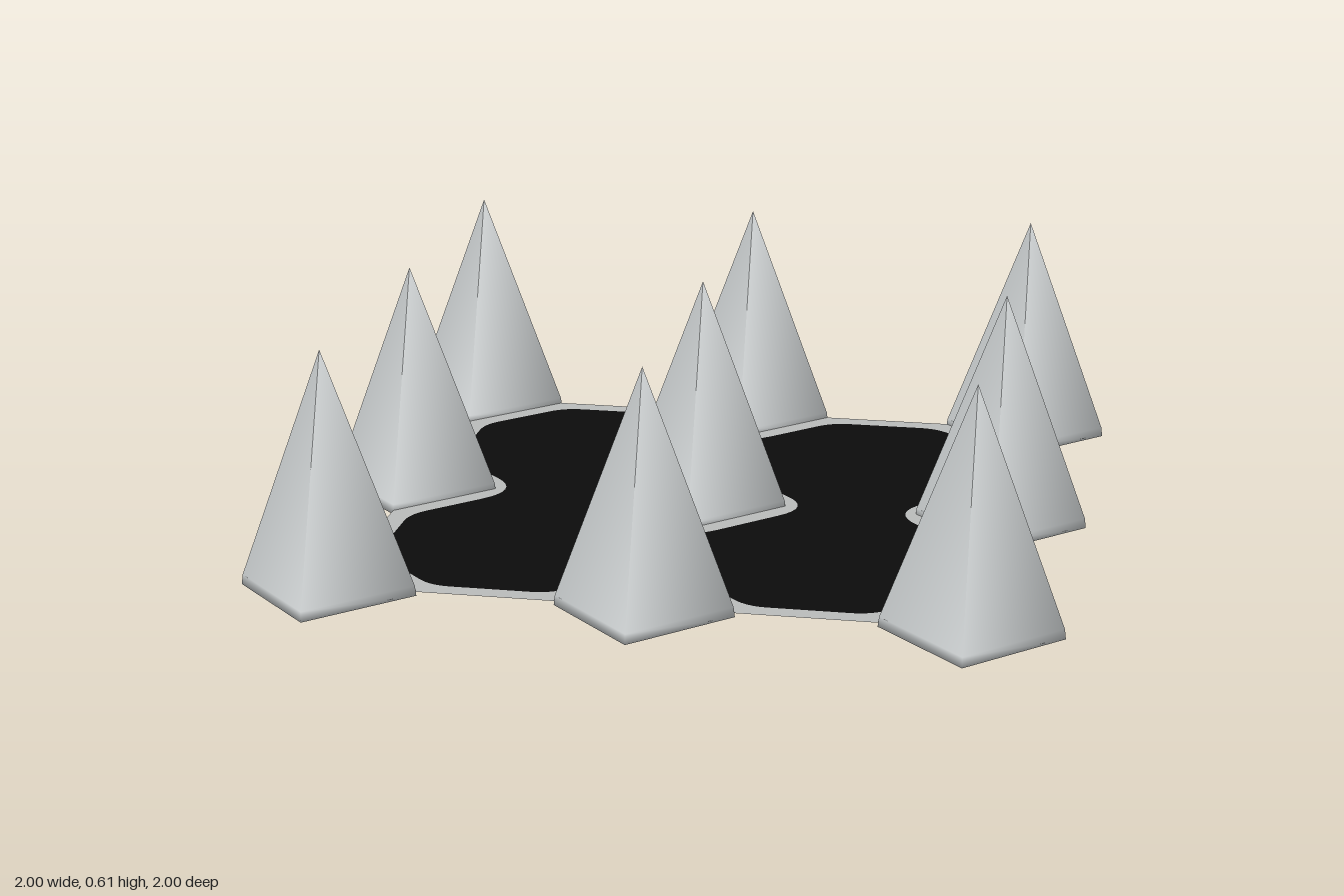
import * as THREE from 'three';

const PITCH = 0.78;    // spacing of the spikes and half size of the sheet
const INNER = 0.73;    // half size of the dark field
const CLEAR = 0.29;    // diamond-shaped clearance around each spike
const SHEET_Y = 0.01;

const spikeGrey = new THREE.MeshStandardMaterial({ color: 0xc6cacb });
spikeGrey.name = 'spikeGrey';
const rimGrey = new THREE.MeshStandardMaterial({ color: 0xb9bbba, side: THREE.DoubleSide });
rimGrey.name = 'rimGrey';
const fieldBlack = new THREE.MeshStandardMaterial({ color: 0x0b0b0b, side: THREE.DoubleSide });
fieldBlack.name = 'fieldBlack';

// Closed path through [x, y, rounding] corners
function roundedPath(corners, path) {
  const n = corners.length;
  corners.forEach(([x, y, r], i) => {
    const here = new THREE.Vector2(x, y);
    const toward = (c) => new THREE.Vector2(c[0], c[1]).sub(here).setLength(r).add(here);
    const a = toward(corners[(i + n - 1) % n]);
    const b = toward(corners[(i + 1) % n]);
    if (i === 0) path.moveTo(a.x, a.y);
    else path.lineTo(a.x, a.y);
    path.quadraticCurveTo(x, y, b.x, b.y);
  });
  path.closePath();
  return path;
}

// Outline of the dark field: one side, repeated by quarter turns
function fieldCorners() {
  const notch = CLEAR - (PITCH - INNER);
  const side = [
    [-0.54, -INNER, 0.05],
    [-notch, -INNER, 0.05],
    [0, -PITCH + CLEAR, 0.125],
    [notch, -INNER, 0.05],
    [0.54, -INNER, 0.05],
  ];
  const corners = [];
  for (let q = 0; q < 4; q++) {
    const c = Math.round(Math.cos(q * Math.PI / 2));
    const s = Math.round(Math.sin(q * Math.PI / 2));
    for (const [x, y, r] of side) corners.push([x * c - y * s, x * s + y * c, r]);
  }
  return corners;
}

const diamondCorners = [[CLEAR, 0, 0.11], [0, CLEAR, 0.11], [-CLEAR, 0, 0.11], [0, -CLEAR, 0.11]];

function addSheet(group, name, shape, material) {
  const geometry = new THREE.ShapeGeometry(shape, 8);
  geometry.rotateX(-Math.PI / 2);
  const mesh = new THREE.Mesh(geometry, material);
  mesh.name = name;
  mesh.position.y = SHEET_Y;
  group.add(mesh);
}

export function createModel() {
  const model = new THREE.Group();
  model.name = 'spikeTrap';

  // Dark field with an opening around the middle spike
  const field = roundedPath(fieldCorners(), new THREE.Shape());
  field.holes.push(roundedPath(diamondCorners, new THREE.Path()));
  addSheet(model, 'darkField', field, fieldBlack);

  // Pale rim along the sheet edge and around the spikes
  const rim = new THREE.Shape();
  rim.moveTo(-PITCH, -PITCH);
  rim.lineTo(PITCH, -PITCH);
  rim.lineTo(PITCH, PITCH);
  rim.lineTo(-PITCH, PITCH);
  rim.closePath();
  rim.holes.push(roundedPath(fieldCorners(), new THREE.Path()));
  addSheet(model, 'outerRim', rim, rimGrey);
  addSheet(model, 'middleRim', roundedPath(diamondCorners, new THREE.Shape()), rimGrey);

  // Nine four-sided spikes with a short upright foot
  const profile = [[0, 0], [0.22, 0], [0.217, 0.025], [0, 0.607]].map((p) => new THREE.Vector2(...p));
  const spikeGeometry = new THREE.LatheGeometry(profile, 4);
  for (const i of [-1, 0, 1]) {
    for (const j of [-1, 0, 1]) {
      const spike = new THREE.Mesh(spikeGeometry, spikeGrey);
      spike.name = 'spike';
      spike.position.set(i * PITCH, 0, j * PITCH);
      model.add(spike);
    }
  }
  return model;
}
